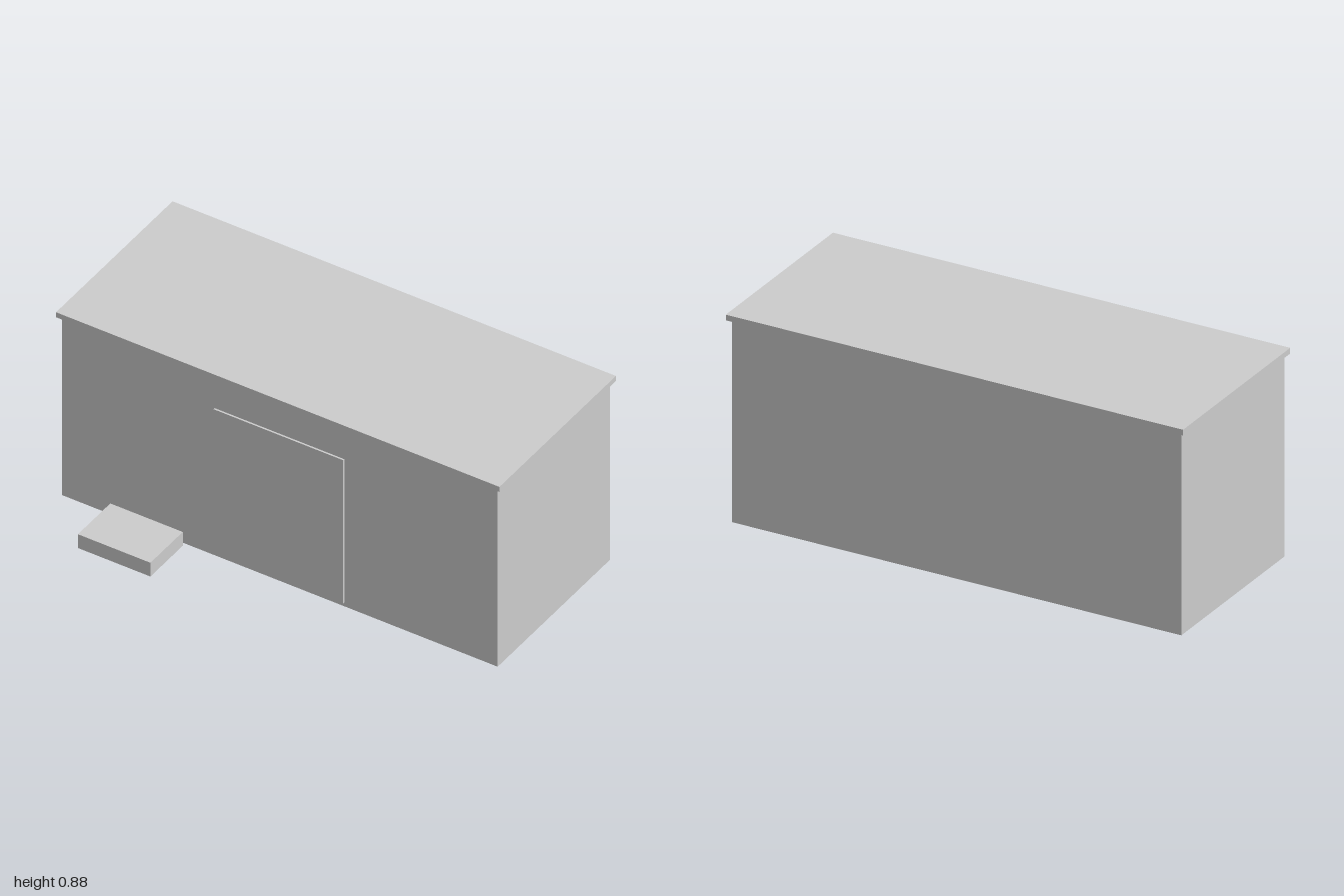
import * as THREE from 'three';

export function createModel() {
  const model = new THREE.Group();
  model.name = 'shed';

  const paleGrey = new THREE.MeshStandardMaterial({ color: 0xcccccc });
  paleGrey.name = 'paleGrey';

  // Box given by its extents along each axis
  function addBox(name, [x0, x1], [y0, y1], [z0, z1]) {
    const mesh = new THREE.Mesh(new THREE.BoxGeometry(x1 - x0, y1 - y0, z1 - z0), paleGrey);
    mesh.name = name;
    mesh.position.set((x0 + x1) / 2, (y0 + y1) / 2, (z0 + z1) / 2);
    model.add(mesh);
  }

  // Main building block
  addBox('walls', [-0.983, 0.983], [0, 0.855], [-0.506, 0.28]);

  // Flat roof slab with a small overhang all round
  addBox('roof', [-1, 1], [0.855, 0.879], [-0.523, 0.294]);

  // Door panel standing slightly proud of the front wall
  addBox('door', [-0.294, 0.291], [0.017, 0.706], [0.28, 0.288]);

  // Low step in front of the wall
  addBox('step', [-0.754, -0.427], [0, 0.066], [0.296, 0.523]);

  return model;
}
